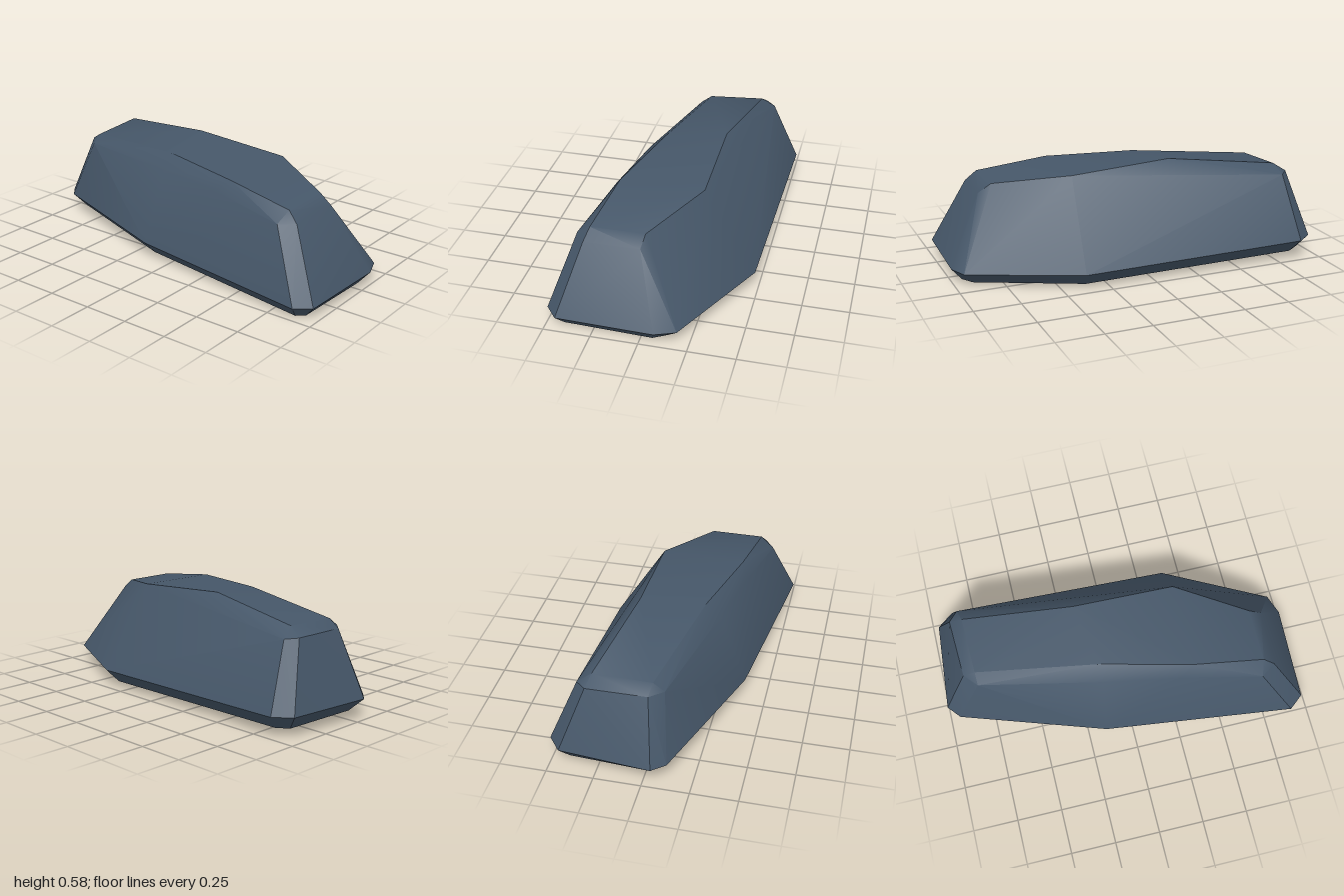
import * as THREE from 'three';
import { ConvexGeometry } from 'three/addons/geometries/ConvexGeometry.js';
import { toCreasedNormals } from 'three/addons/utils/BufferGeometryUtils.js';

// Widest outline near the ground, as x, z
const waist = [
  [-0.96, -0.44], [-0.87, -0.51], [0.39, -0.48], [0.96, -0.19], [1, -0.08],
  [0.98, 0.44], [0.9, 0.505], [-0.15, 0.38], [-0.94, 0.12], [-1, 0.05],
];
// Underside outline, slightly inset, as x, z
const underside = [
  [-0.9, -0.4], [-0.84, -0.44], [0.37, -0.41], [0.9, -0.13], [0.94, -0.06],
  [0.92, 0.41], [0.88, 0.445], [-0.13, 0.32], [-0.88, 0.07], [-0.92, 0.03],
];
// Shoulder where the walls start to round over, as x, y, z
const shoulder = [
  [-0.79, 0.455, 0.08], [-0.13, 0.48, 0.23], [0.28, 0.475, 0.305], [0.72, 0.43, 0.385],
  [0.8, 0.43, 0.33], [0.81, 0.44, 0.03],
  [-0.82, 0.465, -0.365], [-0.87, 0.47, -0.31], [-0.855, 0.46, 0.01],
];
// Corners of the gently domed crown, as x, y, z
const crown = [
  [-0.8, 0.515, -0.29], [-0.2, 0.58, -0.195], [0.36, 0.545, -0.195], [0.74, 0.487, 0.02],
  [0.74, 0.485, 0.31], [0.35, 0.538, 0.265], [-0.13, 0.55, 0.15], [-0.79, 0.5, 0.02],
];

export function createModel() {
  const stone = new THREE.MeshStandardMaterial({ color: 0x465769 });
  stone.name = 'slateStone';

  // The base rings tilt slightly, falling towards +x and +z
  const points = [
    ...waist.map(([x, z]) => new THREE.Vector3(x, 0.092 - 0.02 * x - 0.012 * z, z)),
    ...underside.map(([x, z]) => new THREE.Vector3(x, 0.02 - 0.019 * x - 0.006 * z, z)),
    ...[...shoulder, ...crown].map((p) => new THREE.Vector3(...p)),
  ];

  const boulder = new THREE.Mesh(toCreasedNormals(new ConvexGeometry(points), 0.52), stone);
  boulder.name = 'boulder';

  const group = new THREE.Group();
  group.name = 'rock';
  group.add(boulder);
  return group;
}
